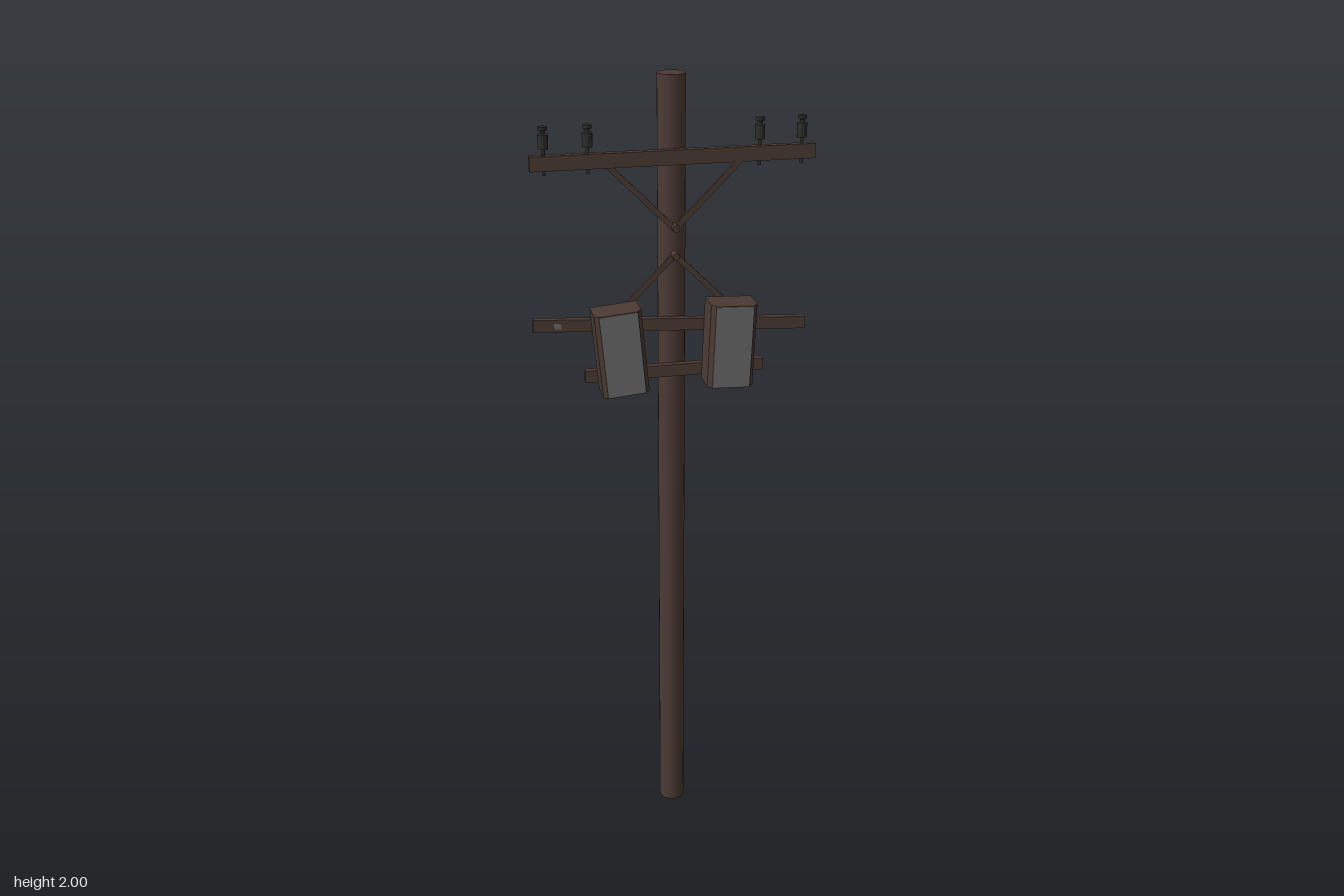
import * as THREE from 'three';

const wood = new THREE.MeshStandardMaterial({ color: 0x4b3a33 });
wood.name = 'weatheredBrown';
const grey = new THREE.MeshStandardMaterial({ color: 0x6a6a6a });
grey.name = 'panelGrey';
const dark = new THREE.MeshStandardMaterial({ color: 0x2b2d2a });
dark.name = 'insulatorDark';

const POLE_X = 0.003, POLE_Z = -0.045, ARM_Z = -0.008;

function add(parent, name, geometry, material, x = 0, y = 0, z = 0, rz = 0) {
  const mesh = new THREE.Mesh(geometry, material);
  mesh.name = name;
  mesh.position.set(x, y, z);
  mesh.rotation.z = rz;
  parent.add(mesh);
  return mesh;
}

// Flat bar running between two points in the xy plane
function bar(parent, name, x1, y1, x2, y2, z, width, depth) {
  const length = Math.hypot(x2 - x1, y2 - y1);
  add(parent, name, new THREE.BoxGeometry(length, width, depth), wood,
    (x1 + x2) / 2, (y1 + y2) / 2, z, Math.atan2(y2 - y1, x2 - x1));
}

// Pin with a grooved insulator on top
function insulator(x) {
  const g = new THREE.Group();
  g.name = 'insulator';
  g.position.set(x, 1.79, -0.009);
  add(g, 'pin', new THREE.CylinderGeometry(0.004, 0.004, 0.075, 8), dark, 0, 0.0375);
  const profile = [[0, 0.06], [0.012, 0.06], [0.012, 0.092], [0.006, 0.094],
    [0.006, 0.1], [0.011, 0.102], [0.011, 0.109], [0, 0.11]];
  const body = new THREE.LatheGeometry(profile.map(p => new THREE.Vector2(...p)), 12).toNonIndexed();
  body.computeVertexNormals();
  add(g, 'cap', body, dark);
  return g;
}

// Equipment cabinet with chamfered front corners and a grey door
function cabinet(x, tilt) {
  const g = new THREE.Group();
  g.name = 'cabinet';
  g.position.set(x, 1.377, 0);
  g.rotation.z = tilt;
  const w = 0.056, h = 0.205, d = 0.075, c = 0.012;
  const outline = new THREE.Shape([[-w, 0.002], [w, 0.002], [w, -d + c], [w - c, -d],
    [-w + c, -d], [-w, -d + c]].map(p => new THREE.Vector2(...p)));
  const shell = new THREE.ExtrudeGeometry(outline, { depth: h, bevelEnabled: false });
  shell.rotateX(-Math.PI / 2).translate(0, -h / 2, 0);
  add(g, 'shell', shell, wood);
  add(g, 'door', new THREE.BoxGeometry(2 * (w - c) + 0.004, h - 0.004, 0.002), grey, 0, 0, d);
  return g;
}

export function createModel() {
  const model = new THREE.Group();
  model.name = 'utilityPole';

  add(model, 'pole', new THREE.CylinderGeometry(0.033, 0.033, 2, 24), wood, POLE_X, 1, POLE_Z);

  // Three cross bars, the middle one sagging to one side
  bar(model, 'upperCrossarm', -0.33, 1.818, 0.335, 1.818, ARM_Z, 0.034, 0.017);
  bar(model, 'tiltedCrossarm', -0.337, 1.438, 0.326, 1.4, ARM_Z, 0.03, 0.017);
  bar(model, 'lowerCrossarm', -0.217, 1.301, 0.223, 1.301, ARM_Z, 0.03, 0.017);
  add(model, 'armPlate', new THREE.BoxGeometry(0.018, 0.014, 0.019), grey, -0.28, 1.434, ARM_Z, -0.057);

  // Mirrored braces, two to the upper arm and two to the tilted arm
  for (const s of [-1, 1]) {
    bar(model, 'upperBrace', POLE_X, 1.65, POLE_X + s * 0.158, 1.808, -0.006, 0.013, 0.007);
    bar(model, 'lowerBrace', POLE_X, 1.588, POLE_X + s * 0.165, 1.425, -0.006, 0.013, 0.007);
  }

  // Bolts fixing the braces to the pole
  for (const y of [1.655, 1.588]) {
    const bolt = new THREE.CylinderGeometry(0.009, 0.009, 0.03, 8).rotateX(Math.PI / 2);
    add(model, 'braceBolt', bolt, wood, POLE_X, y, -0.002);
  }

  for (const x of [-0.3, -0.2, 0.2, 0.3]) model.add(insulator(x + POLE_X));

  model.add(cabinet(-0.138, 0.09), cabinet(0.128, -0.04));
  return model;
}
